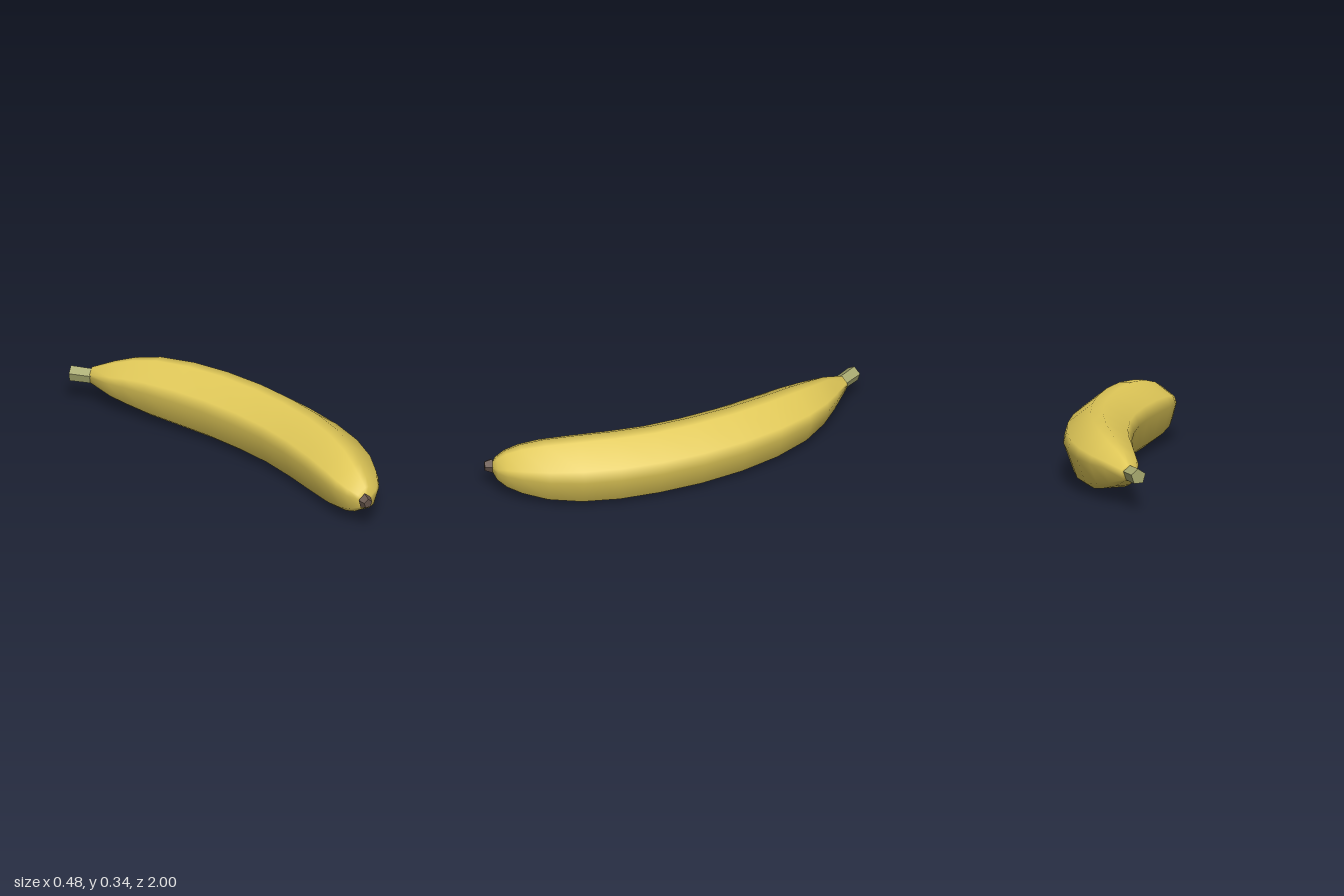
import * as THREE from 'three';

const DEG = Math.PI / 180;
const MID_Y = 0.164;

// Ring angles: five ridges, each either a point or a narrow bevelled pair
function ridgeAngles(bevel) {
  const angles = [];
  for (let k = 0; k < 5; k++) {
    const a = 16 + 72 * k;
    if (bevel) angles.push((a - bevel) * DEG, (a + bevel) * DEG);
    else angles.push(a * DEG);
  }
  return angles;
}

// Skin rings between stations [innerX, innerZ, outerX, outerZ], running towards +z
function loft(stations, angles, flat) {
  const pos = [], idx = [], n = angles.length, last = stations.length - 1;
  for (const [ix, iz, ox, oz] of stations) {
    const hx = (ox - ix) / 2, hz = (oz - iz) / 2;
    const r = Math.hypot(hx, hz) * 1.02;
    for (const a of angles) {
      const c = Math.cos(a) * 1.01;
      pos.push((ix + ox) / 2 + hx * c, MID_Y + r * Math.sin(a), (iz + oz) / 2 + hz * c);
    }
  }
  for (let i = 0; i < last; i++) {
    for (let j = 0; j < n; j++) {
      const a = i * n + j, b = i * n + (j + 1) % n;
      idx.push(a, b, b + n, a, b + n, a + n);
    }
  }
  // End caps
  for (const [row, front] of [[0, false], [last, true]]) {
    const o = row * n;
    for (let j = 1; j < n - 1; j++) {
      if (front) idx.push(o, o + j, o + j + 1);
      else idx.push(o, o + j + 1, o + j);
    }
  }
  let geo = new THREE.BufferGeometry();
  geo.setAttribute('position', new THREE.Float32BufferAttribute(pos, 3));
  geo.setIndex(idx);
  if (flat) geo = geo.toNonIndexed();
  geo.computeVertexNormals();
  return geo;
}

export function createModel() {
  const peelYellow = new THREE.MeshStandardMaterial({ color: 0xe0c858 });
  const stemGreen = new THREE.MeshStandardMaterial({ color: 0xa8aa70 });
  const tipBrown = new THREE.MeshStandardMaterial({ color: 0x65544a });
  peelYellow.name = 'peelYellow';
  stemGreen.name = 'stemGreen';
  tipBrown.name = 'tipBrown';

  const group = new THREE.Group();
  group.name = 'banana';
  const add = (name, geo, mat) => {
    const mesh = new THREE.Mesh(geo, mat);
    mesh.name = name;
    group.add(mesh);
  };

  // Curved fruit body, from the stem end to the blossom end
  add('peel', loft([
    [-0.188, -0.875, -0.115, -0.91],
    [-0.188, -0.75, -0.02, -0.82],
    [-0.175, -0.67, 0.055, -0.735],
    [-0.157, -0.55, 0.13, -0.61],
    [-0.13, -0.38, 0.19, -0.43],
    [-0.11, -0.2, 0.227, -0.22],
    [-0.105, 0, 0.24, 0],
    [-0.115, 0.19, 0.23, 0.22],
    [-0.145, 0.37, 0.2, 0.43],
    [-0.187, 0.55, 0.15, 0.61],
    [-0.225, 0.7, 0.08, 0.76],
    [-0.243, 0.8, 0, 0.87],
    [-0.242, 0.875, -0.06, 0.93],
    [-0.225, 0.93, -0.11, 0.96],
    [-0.21, 0.95, -0.16, 0.967],
  ], ridgeAngles(10), false), peelYellow);

  // Five-sided stem, flaring slightly to its cut end
  add('stem', loft([
    [-0.24, -0.965, -0.17, -1.001],
    [-0.181, -0.853, -0.114, -0.887],
  ], ridgeAngles(0), true), stemGreen);

  // Tapered dark blossom tip
  add('tip', loft([
    [-0.233, 0.95, -0.158, 0.962],
    [-0.23, 0.985, -0.185, 0.998],
  ], ridgeAngles(0), true), tipBrown);

  return group;
}
